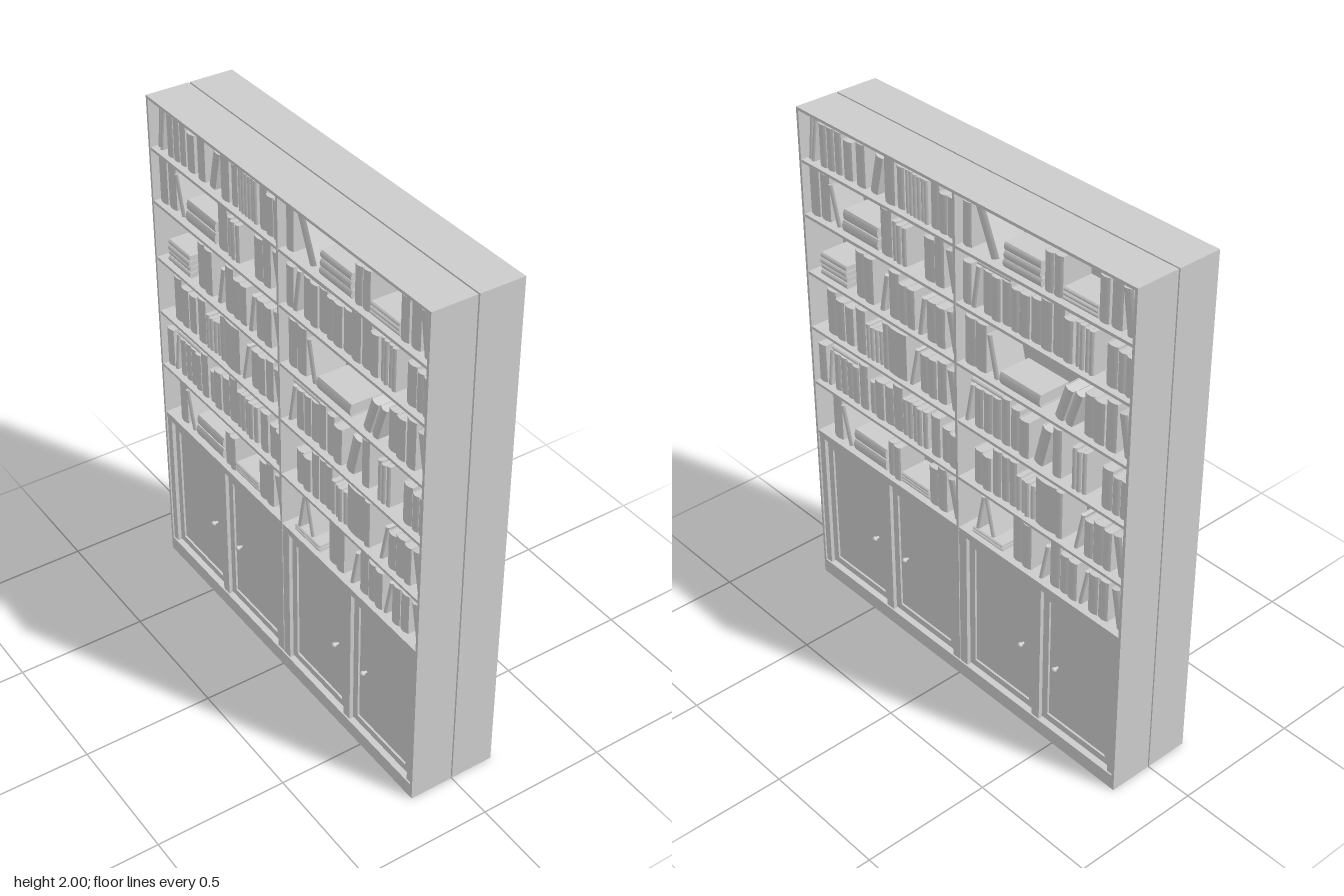
import * as THREE from 'three';
import { toCreasedNormals } from 'three/addons/utils/BufferGeometryUtils.js';

const W = 0.81, D = 0.172, BACK = 0.003, T = 0.011; // half width, depth, seam, board thickness
const U = 0.0053;                                    // shelf layout unit, counted from the +z end
const mat = new THREE.MeshStandardMaterial({ color: 0xcccccc, side: THREE.DoubleSide });

let seed = 7;
const rand = () => (seed = (seed * 16807) % 2147483647) / 2147483647;

function add(parent, name, geo, x = 0, y = 0, z = 0) {
  const m = new THREE.Mesh(geo, mat);
  m.name = name;
  m.position.set(x, y, z);
  parent.add(m);
  return m;
}

// Box given by its limits
function slab(parent, name, x0, x1, y0, y1, z0, z1) {
  return add(parent, name, new THREE.BoxGeometry(x1 - x0, y1 - y0, z1 - z0),
    (x0 + x1) / 2, (y0 + y1) / 2, (z0 + z1) / 2);
}

// Unit book: rounded spine towards +x, height along y, thickness along z
function coverGeometry() {
  const s = new THREE.Shape();
  s.moveTo(-0.5, -0.5);
  s.lineTo(-0.42, -0.5);
  s.lineTo(-0.42, 0.42);
  s.lineTo(0.42, 0.42);
  s.lineTo(0.42, -0.5);
  s.lineTo(0.5, -0.5);
  s.lineTo(0.5, 0.45);
  s.quadraticCurveTo(0, 0.55, -0.5, 0.45);
  s.closePath();
  const g = new THREE.ExtrudeGeometry(s, { depth: 1, bevelEnabled: false, curveSegments: 6 });
  g.translate(0, 0, -0.5);
  g.applyMatrix4(new THREE.Matrix4().makeBasis(
    new THREE.Vector3(0, 0, 1), new THREE.Vector3(1, 0, 0), new THREE.Vector3(0, 1, 0)));
  return toCreasedNormals(g, 0.5);
}
const cover = coverGeometry();
const pages = new THREE.BoxGeometry(0.9, 0.97, 0.84).translate(-0.03, 0, 0);

function book(parent, y, z, height, thick, angle = 0) {
  const b = new THREE.Group();
  b.name = 'book';
  const depth = 0.115 + 0.015 * rand();
  add(b, 'cover', cover);
  add(b, 'pages', pages);
  b.scale.set(depth, height, thick);
  b.position.set(0.153 - 0.008 * rand() - depth / 2, y, z);
  b.rotation.x = angle;
  parent.add(b);
}

const zAt = (p) => W - p * U;

// Row of n upright books between p0 and p1
const row = (p0, p1, h, n = 1) => (g, y) => {
  const w = (p1 - p0) / n;
  for (let i = 0; i < n; i++) {
    const k = h * (n > 1 ? 0.97 + 0.04 * rand() : 1) * U;
    book(g, y + k / 2, zAt(p0 + (i + 0.5) * w), k, w * U * 0.97);
  }
};
// Pile of n books lying flat, optionally raised above the shelf
const pile = (p0, p1, h, n = 1, raise = 0) => (g, y) => {
  const t = h / n;
  for (let i = 0; i < n; i++) {
    const len = (p1 - p0) * (i ? 0.94 + 0.05 * rand() : 1);
    book(g, y + (raise + (i + 0.5) * t) * U, zAt((p0 + p1) / 2), len * U, t * U * 0.98, Math.PI / 2);
  }
};
// Leaning book: t is its thickness, dir the side its top leans to
const lean = (p0, p1, h, t, dir, raise = 0) => (g, y) => {
  const a = Math.atan((p1 - p0 - t) / h);
  const len = (h - t * Math.sin(a)) / Math.cos(a);
  book(g, y + (raise + h / 2) * U, zAt((p0 + p1) / 2), len * U, t * U, -dir * a);
};

function shelf(parent, y, ...items) {
  const g = new THREE.Group();
  g.name = 'shelfRow';
  parent.add(g);
  slab(g, 'shelfBoard', BACK, D - 0.002, y - T, y, -W + T, W - T);
  items.forEach((put) => put(g, y));
}

function fillShelves(c) {
  shelf(c, 1.805,
    lean(3, 10, 32, 3, 1), lean(7, 15, 32, 3, 1), row(16, 38, 30, 3), pile(10, 38, 3, 1, 31),
    row(40, 49, 27), row(53, 62, 30), lean(66, 80, 29, 7, 1), row(82, 92, 35), row(93, 100, 29),
    row(102, 124, 30, 6), row(126, 134, 32), row(134, 149, 27, 2),
    row(155, 163, 30), lean(165, 189, 36, 8, -1), pile(192, 225, 17, 3), row(227, 242, 27, 2),
    pile(243, 272, 9, 3), row(272, 280, 30), row(281, 290, 35), lean(290, 303, 31, 8, -1));
  shelf(c, 1.595,
    row(3, 23, 34, 2), lean(22, 35, 29, 5, -1), pile(37, 73, 16, 2), row(75, 86, 33),
    row(87, 101, 28, 3), row(118, 128, 30), row(128, 137, 34), lean(138, 152, 30, 8, -1),
    row(155, 163, 29), lean(163, 172, 31, 4, 1), row(173, 198, 30, 3), pile(169, 199, 3, 1, 31),
    row(199, 206, 29), row(206, 225, 30, 2), row(225, 244, 34, 2), row(244, 252, 29),
    row(253, 269, 30, 4), row(279, 288, 28), row(288, 301, 27, 2));
  shelf(c, 1.365,
    pile(11, 39, 17, 4), row(47, 66, 34, 2), lean(72, 82, 29, 4, 1), row(82, 92, 34),
    row(92, 108, 29, 2), lean(111, 120, 29, 4, 1), row(120, 138, 29, 2), lean(138, 151, 30, 7, -1),
    row(156, 176, 34, 2), lean(176, 188, 30, 5, -1), pile(190, 226, 9), lean(238, 254, 27, 7, 1),
    lean(247, 262, 27, 6, 1), row(262, 280, 30, 2), row(281, 290, 34), lean(290, 303, 30, 7, -1));
  shelf(c, 1.135,
    row(14, 24, 34), row(24, 42, 30, 2), row(46, 56, 34), row(57, 73, 26, 4), row(74, 80, 35),
    row(80, 99, 35), lean(101, 111, 30, 3, 1), row(111, 128, 29, 2), row(128, 137, 31),
    lean(138, 151, 30, 8, -1),
    lean(156, 165, 30, 3, 1), row(165, 189, 30, 3), pile(162, 191, 3, 1, 31), row(190, 198, 34),
    row(198, 206, 30), row(207, 216, 27), lean(219, 235, 31, 8, 1), row(236, 244, 35),
    row(254, 266, 30, 3), row(279, 288, 29), row(288, 301, 27, 2));
  shelf(c, 0.9,
    row(1, 10, 30), lean(11, 18, 31, 3, 1), row(18, 46, 30, 4), pile(17, 46, 3, 1, 31),
    row(47, 56, 35), row(57, 63, 25), row(64, 82, 30, 2), row(82, 92, 35), row(92, 118, 29, 5),
    row(122, 131, 31), row(132, 149, 26, 2),
    row(164, 181, 26, 2), row(182, 190, 35), row(190, 204, 34, 2), row(204, 221, 26, 4),
    row(222, 241, 35), row(241, 247, 35), lean(257, 266, 29, 3, 1), row(266, 274, 27),
    row(274, 283, 30), row(283, 290, 29), lean(290, 303, 30, 7, -1));
  shelf(c, 0.68,
    row(14, 24, 35), lean(23, 36, 31, 5, -1), pile(38, 73, 17, 2), row(75, 89, 27, 2),
    pile(90, 119, 9, 3), row(119, 128, 30), row(128, 137, 34), lean(138, 152, 31, 7, -1),
    pile(164, 193, 5, 2), lean(166, 175, 29, 3, 1, 5), lean(173, 184, 29, 4, -1, 5),
    row(201, 219, 35, 2), lean(227, 236, 29, 3, 1), row(236, 245, 35), row(245, 261, 30, 2),
    lean(262, 271, 29, 3, 1), row(271, 288, 30, 2), lean(290, 303, 30, 7, -1));
}

// Framed door with a recessed panel and a round knob
function door(parent, z, knobSide) {
  const g = new THREE.Group(), w = 0.172, h = 0.285, rim = 0.028;
  g.name = 'cabinetDoor';
  g.position.set(0.138, 0.352, z);
  const rect = (o, a, b) => o.moveTo(-a, -b).lineTo(a, -b).lineTo(a, b).lineTo(-a, b).closePath();
  const frame = new THREE.Shape(), hole = new THREE.Path();
  rect(frame, w, h);
  rect(hole, w - rim, h - rim);
  frame.holes.push(hole);
  const geo = new THREE.ExtrudeGeometry(frame, { depth: 0.014, bevelEnabled: false });
  geo.rotateY(Math.PI / 2);
  add(g, 'doorFrame', geo);
  slab(g, 'doorPanel', -0.004, 0.006, -h + rim, h - rim, -w + rim, w - rim);
  const kz = knobSide * 0.105;
  const stem = add(g, 'knobStem', new THREE.CylinderGeometry(0.005, 0.006, 0.014, 12), 0.013, -0.018, kz);
  stem.rotation.z = Math.PI / 2;
  add(g, 'knob', new THREE.SphereGeometry(0.01, 16, 10), 0.023, -0.018, kz);
  parent.add(g);
}

function bookcase() {
  const c = new THREE.Group();
  c.name = 'bookcase';

  // Carcass
  for (const s of [-1, 1]) {
    const a = s * W, b = s * (W - T);
    slab(c, 'sidePanel', BACK, D, 0, 2, Math.min(a, b), Math.max(a, b));
  }
  slab(c, 'topBoard', BACK, D, 2 - T, 2, -W + T, W - T);
  slab(c, 'backPanel', BACK, 0.012, 0.06, 2 - T, -W + T, W - T);
  slab(c, 'middleDivider', 0.012, D - 0.001, 0.66, 2 - T, -T / 2, T / 2);
  fillShelves(c);

  // Base cabinet
  slab(c, 'plinth', BACK, D, 0, 0.06, -W + T, W - T);
  slab(c, 'cabinetBody', 0.012, 0.136, 0.06, 0.66, -W + T, W - T);
  slab(c, 'cabinetTopRail', 0.13, D - 0.004, 0.65, 0.67, -W + T, W - T);
  for (const z of [0.789, 0.405, 0.021, -0.021, -0.405, -0.789])
    slab(c, 'pilaster', 0.13, D - 0.006, 0.06, 0.65, z - 0.019, z + 0.019);
  [0.597, 0.213, -0.213, -0.597].forEach((z, i) => door(c, z, i % 2 ? 1 : -1));
  return c;
}

// Two equal bookcases standing back to back
export function createModel() {
  const model = new THREE.Group();
  model.name = 'doubleSidedBookcase';
  const first = bookcase(), second = first.clone();
  second.rotation.y = Math.PI;
  model.add(first, second);
  return model;
}
